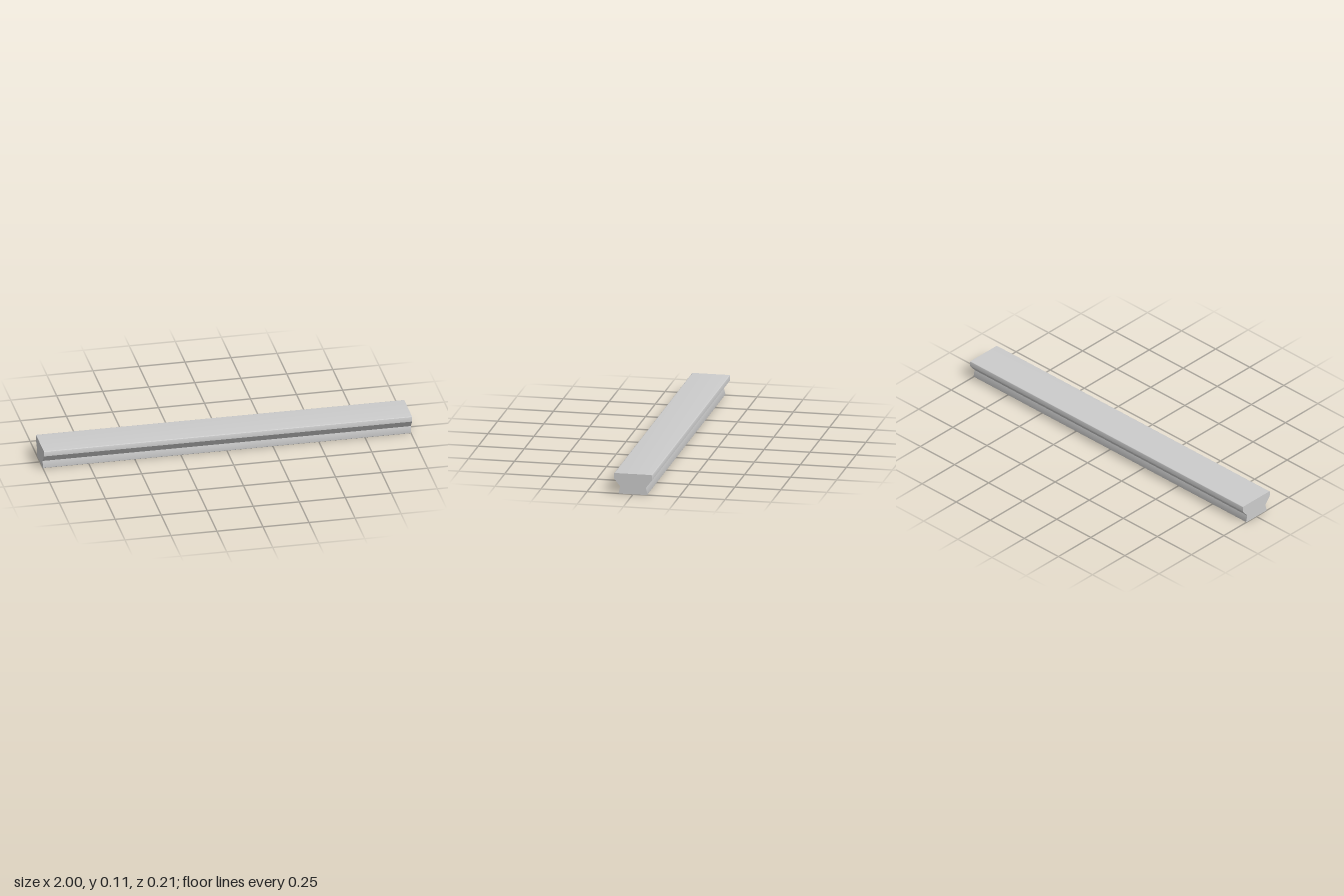
import * as THREE from 'three';
import { toCreasedNormals } from 'three/addons/utils/BufferGeometryUtils.js';

const LENGTH = 2;

// Cross-section: wide cap, tapering to a neck, flared foot, softened outer corners
function railProfile() {
  const top = 0.112, capHalf = 0.104, footHalf = 0.079, r = 0.006;
  const s = new THREE.Shape();
  s.moveTo(-footHalf + r, 0);
  s.lineTo(footHalf - r, 0);
  s.quadraticCurveTo(footHalf, 0, footHalf - 0.001, r);
  s.lineTo(0.07, 0.04);
  s.lineTo(capHalf, 0.083);
  s.lineTo(capHalf, top - r);
  s.quadraticCurveTo(capHalf, top, capHalf - r, top);
  s.lineTo(-capHalf + r, top);
  s.quadraticCurveTo(-capHalf, top, -capHalf, top - r);
  s.lineTo(-capHalf, 0.083);
  s.lineTo(-0.07, 0.04);
  s.lineTo(-footHalf + 0.001, r);
  s.quadraticCurveTo(-footHalf, 0, -footHalf + r, 0);
  return s;
}

export function createModel() {
  const group = new THREE.Group();
  group.name = 'rail';

  // Straight bar swept along x
  const bar = new THREE.ExtrudeGeometry(railProfile(), {
    depth: LENGTH, bevelEnabled: false, curveSegments: 5,
  });
  bar.translate(0, 0, -LENGTH / 2);
  bar.rotateY(Math.PI / 2);

  const mesh = new THREE.Mesh(
    toCreasedNormals(bar, 0.5),
    new THREE.MeshStandardMaterial({ color: 0xcccccc }),
  );
  mesh.name = 'railBar';
  group.add(mesh);
  return group;
}
